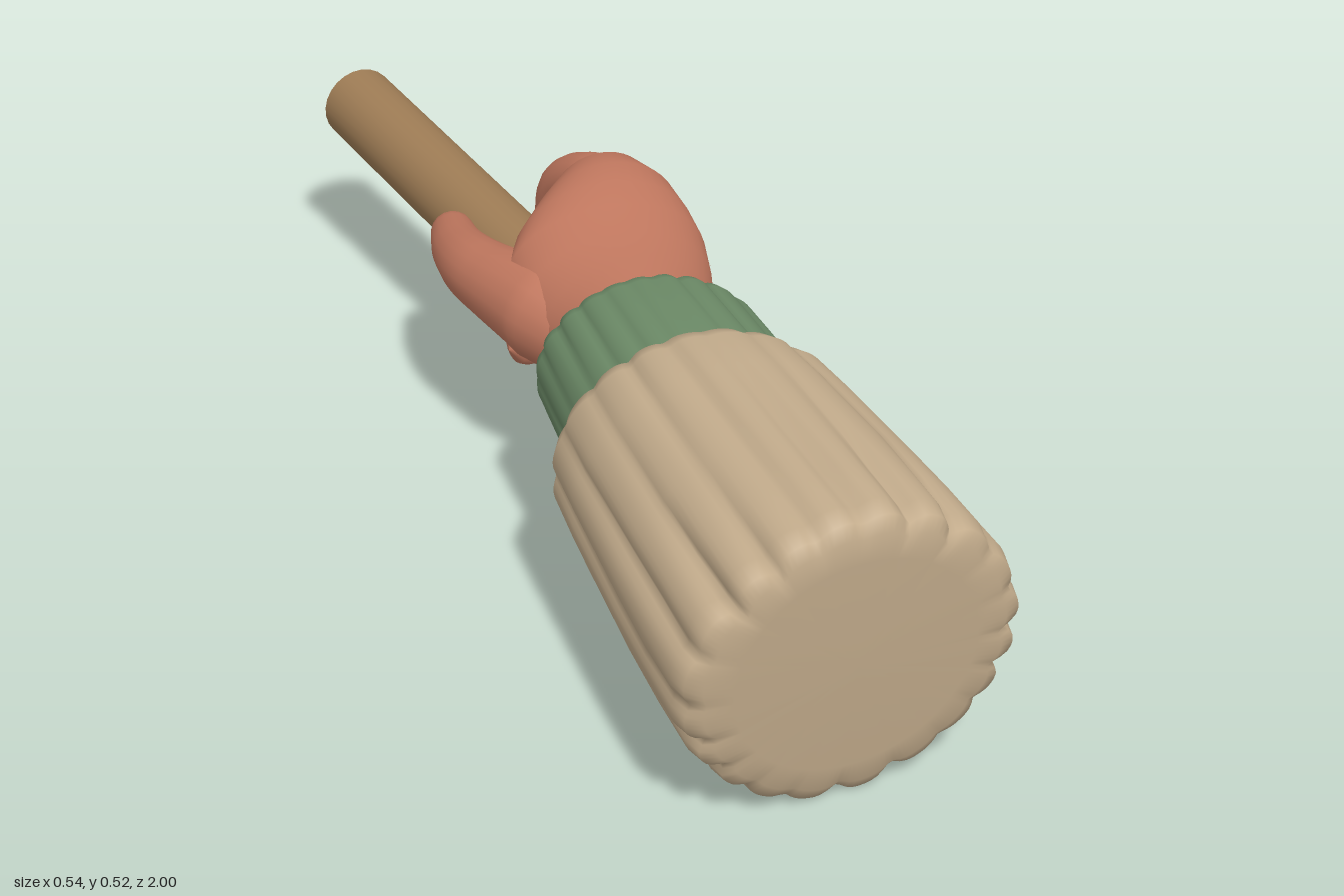
import * as THREE from 'three';

const mat = (name, color) => {
  const m = new THREE.MeshStandardMaterial({ color });
  m.name = name;
  return m;
};

// Skin a list of point rings (each with n points) into a smooth surface
function skin(rings, n) {
  const pos = [], index = [];
  rings.forEach(r => r.forEach(p => pos.push(p.x, p.y, p.z)));
  for (let i = 0; i < rings.length - 1; i++) {
    for (let j = 0; j < n; j++) {
      const k = (j + 1) % n;
      const a = i * n + j, b = (i + 1) * n + j, c = (i + 1) * n + k, d = i * n + k;
      index.push(a, b, d, b, c, d);
    }
  }
  const g = new THREE.BufferGeometry();
  g.setAttribute('position', new THREE.Float32BufferAttribute(pos, 3));
  g.setIndex(index);
  g.computeVertexNormals();
  return g;
}

// Loft along -z. Row: z, centre x, centre y, radius x, radius y, tilt x, tilt y, pleat depth
function loft(rows, n, lobes = 0) {
  const rings = rows.map(([z, cx, cy, rx, ry, tx = 0, ty = 0, amp = 0]) => {
    const ring = [];
    for (let j = 0; j < n; j++) {
      const t = j / n * Math.PI * 2;
      let s = 1;
      if (lobes) {
        const a = t + 0.05 * Math.sin(3 * t + 1);
        const groove = Math.pow(1 - Math.abs(Math.sin(a * lobes / 2)), 1.4);
        s += amp * (0.2 - groove * (1 + 0.45 * Math.sin(5 * t + 9 * z)) + 0.15 * Math.sin(4 * t + 2));
      }
      const dx = rx * s * Math.cos(t), dy = ry * s * Math.sin(t);
      ring.push(new THREE.Vector3(cx + dx, cy + dy, z + tx * dx + ty * dy));
    }
    return ring;
  });
  return skin(rings, n);
}

// Tapered tube with a rounded tip through the given points
function digit(points, radii) {
  const curve = new THREE.CatmullRomCurve3(points.map(p => new THREE.Vector3(...p)));
  const steps = 36, n = 18;
  const frames = curve.computeFrenetFrames(steps);
  const length = curve.getLength();
  const tip = radii[radii.length - 1];
  const rings = [];
  for (let i = 0; i <= steps; i++) {
    const u = i / steps;
    const f = u * (radii.length - 1), k = Math.min(Math.floor(f), radii.length - 2);
    let r = THREE.MathUtils.lerp(radii[k], radii[k + 1], f - k);
    const left = (1 - u) * length;
    if (left < tip) r *= Math.sqrt(Math.max(0, 1 - (1 - left / tip) ** 2));
    const c = curve.getPointAt(u), ring = [];
    for (let j = 0; j < n; j++) {
      const t = -j / n * Math.PI * 2;
      ring.push(c.clone()
        .addScaledVector(frames.normals[i], r * Math.cos(t))
        .addScaledVector(frames.binormals[i], r * Math.sin(t)));
    }
    rings.push(ring);
  }
  return skin(rings, n);
}

export function createModel() {
  const group = new THREE.Group();
  group.name = 'handHoldingStick';
  const cloth = mat('tan cloth', 0xc3ac8c);
  const green = mat('green knit', 0x6b8966);
  const flesh = mat('skin', 0xc1785f);
  const wood = mat('wood', 0x9e7c55);
  const add = (name, geometry, material, parent = group) => {
    const m = new THREE.Mesh(geometry, material);
    m.name = name;
    parent.add(m);
    return m;
  };

  // Pleated sleeve with a closed, softly rounded end
  add('sleeve', loft([
    [0.974, 0, 0.255, 0, 0, -0.06, 0.12, 0],
    [0.973, 0, 0.255, 0.19, 0.185, -0.06, 0.12, 0],
    [0.968, 0, 0.255, 0.235, 0.225, -0.06, 0.12, 0.04],
    [0.955, 0, 0.255, 0.258, 0.246, -0.06, 0.12, 0.07],
    [0.92, 0, 0.256, 0.266, 0.252, -0.06, 0.12, 0.075],
    [0.82, -0.002, 0.259, 0.264, 0.252, -0.03, 0.13, 0.06],
    [0.7, -0.005, 0.264, 0.258, 0.249, 0.01, 0.14, 0.045],
    [0.5, -0.01, 0.278, 0.245, 0.235, 0.08, 0.15, 0.035],
    [0.4, -0.013, 0.286, 0.235, 0.226, 0.12, 0.15, 0.035],
    [0.37, -0.013, 0.29, 0.22, 0.212, 0.12, 0.15, 0.035],
    [0.358, -0.013, 0.292, 0.19, 0.19, 0.12, 0.15, 0.02],
    [0.358, -0.013, 0.292, 0.14, 0.14, 0.12, 0.15, 0],
  ], 160, 20), cloth);

  // Ribbed cuff, hollow towards the wrist
  add('cuff', loft([
    [0.4, -0.012, 0.298, 0.185, 0.185, 0.13, 0.13, 0.02],
    [0.35, -0.012, 0.3, 0.192, 0.189, 0.13, 0.13, 0.025],
    [0.25, -0.012, 0.312, 0.188, 0.177, 0.14, 0.13, 0.03],
    [0.17, -0.012, 0.321, 0.184, 0.167, 0.15, 0.13, 0.035],
    [0.15, -0.012, 0.322, 0.178, 0.161, 0.15, 0.13, 0.035],
    [0.142, -0.012, 0.322, 0.165, 0.15, 0.15, 0.13, 0.03],
    [0.15, -0.012, 0.32, 0.151, 0.141, 0.15, 0.13, 0.03],
    [0.19, -0.012, 0.318, 0.143, 0.135, 0.15, 0.13, 0.02],
    [0.205, -0.012, 0.318, 0.08, 0.08, 0.15, 0.13, 0],
  ], 144, 24), green);

  // Wrist and back of the hand
  const hand = new THREE.Group();
  hand.name = 'hand';
  group.add(hand);
  add('palm', loft([
    [0.25, -0.016, 0.318, 0.117, 0.12],
    [0.17, -0.016, 0.318, 0.12, 0.126],
    [0.1, -0.012, 0.322, 0.127, 0.126],
    [0.04, -0.005, 0.327, 0.148, 0.126],
    [-0.03, 0, 0.338, 0.168, 0.122],
    [-0.1, 0.005, 0.362, 0.177, 0.115],
    [-0.16, 0.022, 0.383, 0.158, 0.106],
    [-0.22, 0.045, 0.398, 0.128, 0.096],
    [-0.28, 0.06, 0.405, 0.09, 0.08],
    [-0.32, 0.06, 0.405, 0.058, 0.056],
    [-0.335, 0.06, 0.405, 0.025, 0.025],
    [-0.34, 0.06, 0.405, 0, 0],
  ], 40), flesh, hand);
  add('heelOfHand', digit(
    [[0.04, 0.32, 0.12], [0.08, 0.295, 0.03], [0.105, 0.29, -0.06], [0.105, 0.3, -0.18]],
    [0.06, 0.08, 0.078, 0.06]), flesh, hand);

  // Thumb beside the stick
  add('thumb', digit(
    [[-0.06, 0.31, 0.07], [-0.125, 0.33, -0.07], [-0.175, 0.33, -0.21], [-0.18, 0.32, -0.32], [-0.16, 0.308, -0.445]],
    [0.075, 0.085, 0.064, 0.049, 0.034]), flesh, hand);

  // Fingers curling over and under the stick
  const fingers = {
    indexFinger: [[0.06, 0.43, -0.19], [0.05, 0.42, -0.3], [0.035, 0.37, -0.39], [0.028, 0.29, -0.41], [-0.005, 0.22, -0.405], [-0.1, 0.19, -0.375]],
    middleFinger: [[0.09, 0.41, -0.14], [0.095, 0.395, -0.25], [0.085, 0.335, -0.318], [0.073, 0.25, -0.345], [0.03, 0.19, -0.34], [-0.12, 0.178, -0.295]],
    ringFinger: [[0.11, 0.38, -0.08], [0.122, 0.365, -0.18], [0.114, 0.3, -0.243], [0.097, 0.228, -0.275], [0.05, 0.182, -0.27], [-0.13, 0.172, -0.215]],
    littleFinger: [[0.12, 0.35, -0.02], [0.13, 0.325, -0.11], [0.125, 0.265, -0.165], [0.105, 0.212, -0.195], [0.055, 0.18, -0.19], [-0.09, 0.17, -0.135]],
  };
  for (const [name, path] of Object.entries(fingers)) {
    add(name, digit(path, [0.05, 0.054, 0.05, 0.046, 0.043, 0.033]), flesh, hand);
  }

  // Round stick held in the fist
  const start = new THREE.Vector3(0.007, 0.238, 0.012), end = new THREE.Vector3(-0.172, 0.311, -0.986);
  const axis = end.clone().sub(start);
  const stick = add('stick', new THREE.CylinderGeometry(0.069, 0.069, axis.length(), 24), wood);
  stick.position.copy(start).add(end).multiplyScalar(0.5);
  stick.quaternion.setFromUnitVectors(new THREE.Vector3(0, 1, 0), axis.normalize());

  return group;
}
